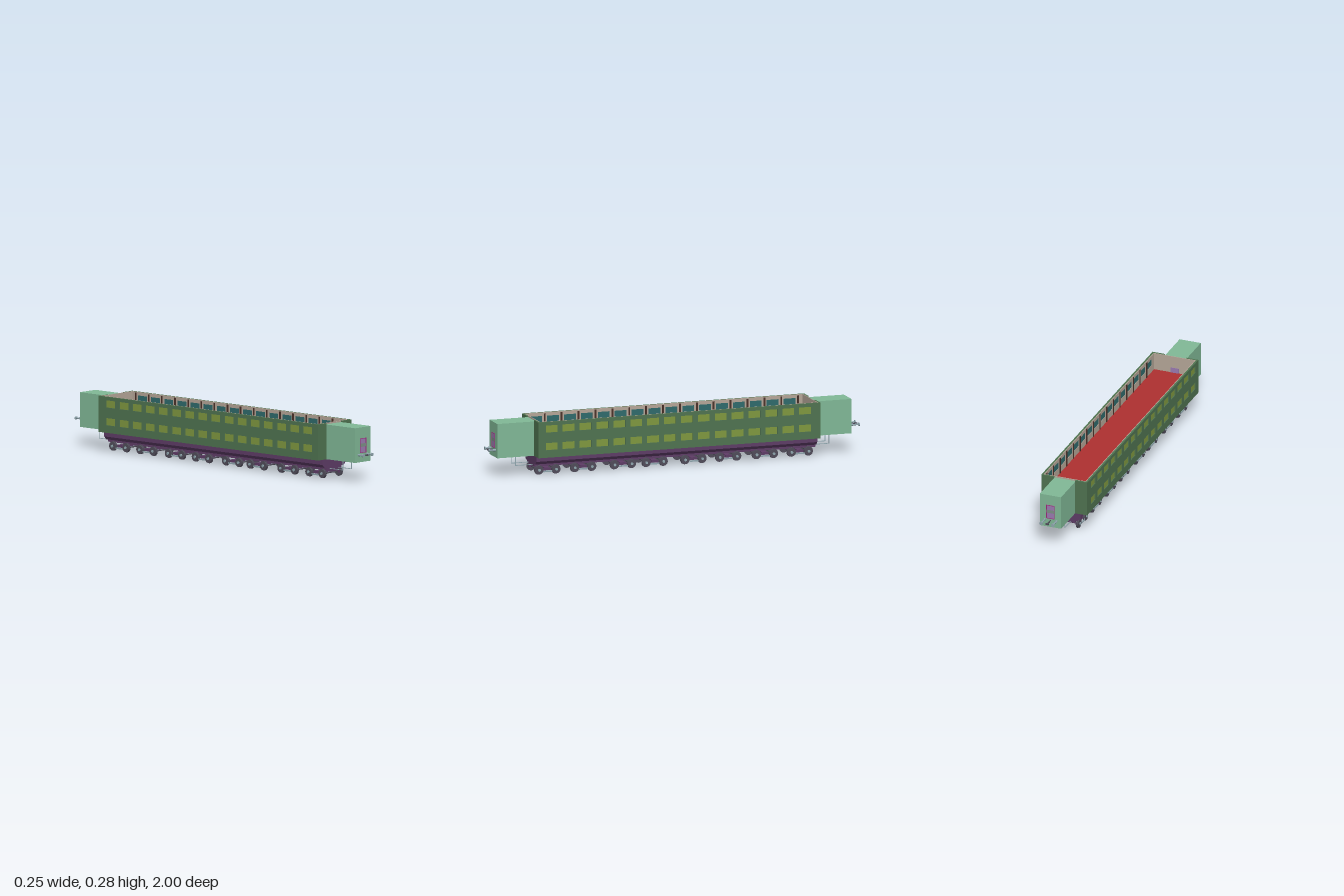
import * as THREE from 'three';

const mat = (color, side = THREE.FrontSide) => new THREE.MeshStandardMaterial({ color, side });
const M = {
  body: mat(0x4f7350), gangway: mat(0x80b896), under: mat(0x5e3c66), floor: mat(0xad3030),
  lining: mat(0xb5a698), pillar: mat(0x4a3028), glassOut: mat(0x7f983f), glassIn: mat(0x2f6a6c),
  wheel: mat(0x504c5a), steel: mat(0x8fa6ae), frame: mat(0xa03080), door: mat(0x9a7ab0), band: mat(0x7c8f86),
};

const OX = -0.002;                 // shared centre line of the gangways and running gear
const ZF = 0.765, ZB = -0.755;     // ends of the body
const Y0 = 0.1, Y1 = 0.285;        // bottom and top of the body
const ROWS = [[0.139, 0.176], [0.23, 0.267]];
const WINDOWS = Array.from({ length: 16 }, (_, i) => 0.693 - i * 0.091);

function add(parent, name, geometry, material, x = 0, y = 0, z = 0) {
  const mesh = new THREE.Mesh(geometry, material);
  mesh.name = name;
  mesh.position.set(x, y, z);
  parent.add(mesh);
  return mesh;
}

// Box given by its minimum and maximum corners
function block(parent, name, material, x0, x1, y0, y1, z0, z1) {
  return add(parent, name, new THREE.BoxGeometry(x1 - x0, y1 - y0, z1 - z0), material,
    (x0 + x1) / 2, (y0 + y1) / 2, (z0 + z1) / 2);
}

// Cylinder lying along x or z
function rod(parent, name, material, r, length, axis, x, y, z, sides = 16) {
  const g = new THREE.CylinderGeometry(r, r, length, sides);
  if (axis === 'x') g.rotateZ(Math.PI / 2);
  else g.rotateX(Math.PI / 2);
  return add(parent, name, g, material, x, y, z);
}

function rectPath(path, x0, x1, y0, y1) {
  path.moveTo(x0, y0);
  path.lineTo(x1, y0);
  path.lineTo(x1, y1);
  path.lineTo(x0, y1);
  path.closePath();
  return path;
}

// Long wall pierced by both window rows, its outer or inner face at x
function windowWall(z0, z1, depth) {
  const shape = rectPath(new THREE.Shape(), z0, z1, Y0, Y1);
  for (const z of WINDOWS)
    for (const [a, b] of ROWS) shape.holes.push(rectPath(new THREE.Path(), z - 0.032, z + 0.032, a, b));
  const g = new THREE.ExtrudeGeometry(shape, { depth, bevelEnabled: false });
  g.rotateY(-Math.PI / 2);
  return g;
}

function buildSides(group) {
  const outer = windowWall(ZB, ZF, 0.01), inner = windowWall(ZB + 0.01, ZF - 0.01, 0.004);
  for (const s of [1, -1]) {
    const side = new THREE.Group();
    side.name = s > 0 ? 'leftSide' : 'rightSide';
    add(side, 'sideWall', outer, M.body, s > 0 ? 0.125 : -0.116);
    add(side, 'sideLining', inner, M.lining, s > 0 ? 0.115 : -0.112);
    for (const z of WINDOWS) {
      for (const [a, b] of ROWS) {
        const xs = [0.1185 * s, 0.121 * s].sort((p, q) => p - q);
        const xi = [0.1135 * s, 0.118 * s].sort((p, q) => p - q);
        block(side, 'windowPane', M.glassOut, xs[0], xs[1], a, b, z - 0.032, z + 0.032);
        block(side, 'innerPane', M.glassIn, xi[0], xi[1], a, b, z - 0.032, z + 0.032);
      }
      // Pillar between neighbouring windows
      const p = [0.108 * s, 0.112 * s].sort((u, v) => u - v);
      block(side, 'pillar', M.pillar, p[0], p[1], 0.195, 0.28, z - 0.05, z - 0.041);
    }
    group.add(side);
  }
}

// Front end (s = 1) or back end (s = -1)
function buildEnd(group, s) {
  const end = new THREE.Group();
  end.name = s > 0 ? 'frontEnd' : 'backEnd';
  const zBody = s > 0 ? ZF : ZB, zFace = s > 0 ? 0.962 : -0.946;
  const span = (name, m, x0, x1, y0, y1, za, zb) =>
    block(end, name, m, x0, x1, y0, y1, Math.min(za, zb), Math.max(za, zb));

  // End wall beside the gangway, and the inner lining with its door
  span('endWall', M.body, -0.116, OX - 0.058, Y0, Y1, zBody, zBody - 0.01 * s);
  span('endWall', M.body, OX + 0.058, 0.115, Y0, Y1, zBody, zBody - 0.01 * s);
  span('endLining', M.lining, -0.112, 0.111, Y0, Y1, zBody - 0.01 * s, zBody - 0.014 * s);
  span('innerDoor', M.door, OX - 0.022, OX + 0.022, 0.195, 0.222, zBody - 0.014 * s, zBody - 0.016 * s);
  span('gangway', M.gangway, OX - 0.058, OX + 0.058, Y0, 0.278, zBody - 0.01 * s, zFace);

  // Gangway door: panels, cross band and frame
  span('door', M.door, OX - 0.021, OX + 0.021, 0.148, 0.221, zFace, zFace + 0.001 * s);
  span('doorBand', M.band, OX - 0.021, OX + 0.021, 0.178, 0.195, zFace, zFace + 0.0015 * s);
  for (const t of [-1, 1])
    span('doorFrame', M.frame, OX + t * 0.0215 - 0.0015, OX + t * 0.0215 + 0.0015, 0.147, 0.222, zFace, zFace + 0.003 * s);
  for (const y of [0.147, 0.2195])
    span('doorFrame', M.frame, OX - 0.023, OX + 0.023, y, y + 0.0025, zFace, zFace + 0.003 * s);

  // Buffers with a coupler between them
  const tip = s * 0.999, len = Math.abs(tip - zFace);
  for (const t of [-1, 1]) {
    const x = OX - 0.001 + t * 0.032;
    rod(end, 'bufferStem', M.steel, 0.004, len, 'z', x, 0.138, (tip + zFace) / 2);
    rod(end, 'bufferSleeve', M.steel, 0.006, 0.016, 'z', x, 0.138, zFace + s * 0.008);
    const head = rod(end, 'bufferHead', M.steel, 0.0095, 0.005, 'z', x, 0.138, tip - s * 0.0025, 20);
    head.scale.y = 0.9;
  }
  rod(end, 'couplerBar', M.wheel, 0.003, len * 0.9, 'z', OX - 0.001, 0.137, zFace + s * len * 0.45, 8);
  span('couplerHook', M.wheel, OX - 0.009, OX + 0.007, 0.133, 0.141, tip - s * 0.012, tip - s * 0.003);

  // Bent pipes hanging below the gangway
  const zPipe = s > 0 ? 0.855 : -0.835;
  for (const t of [-1, 1]) {
    const x = OX - 0.001 + t * 0.032;
    span('pipe', M.steel, x - 0.0015, x + 0.0015, 0.049, Y0, zPipe - 0.0015, zPipe + 0.0015);
    span('pipe', M.steel, x - 0.0015, x + 0.0015, 0.049, 0.052, zPipe, zBody - 0.01 * s);
  }
  group.add(end);
}

function buildUnderframe(group) {
  const half = [[0.086, 0.1], [0.086, 0.073], [0.071, 0.057], [0.056, 0.057], [0.056, 0.043]];
  const points = [...half, ...half.map(([x, y]) => [-x, y]).reverse()];
  const shape = new THREE.Shape(points.map(([x, y]) => new THREE.Vector2(x, y)));
  const g = new THREE.ExtrudeGeometry(shape, { depth: ZF - ZB - 0.006, bevelEnabled: false });
  add(group, 'underframe', g, M.under, OX, 0, ZB + 0.003);
}

function buildBogie(z) {
  const bogie = new THREE.Group();
  bogie.name = 'bogie';
  bogie.position.set(OX, 0, z);
  block(bogie, 'bolster', M.under, -0.058, 0.058, 0.023, 0.034, -0.014, 0.014);
  rod(bogie, 'crossTube', M.steel, 0.0045, 0.098, 'x', 0, 0.019, 0);
  add(bogie, 'pivot', new THREE.CylinderGeometry(0.008, 0.008, 0.012, 16), M.wheel, 0, 0.039, 0);
  for (const s of [-1, 1]) {
    block(bogie, 'sideFrame', M.under, s * 0.052 - 0.003, s * 0.052 + 0.003, 0.02, 0.032, -0.06, 0.06);
    block(bogie, 'springBeam', M.steel, s * 0.066 - 0.002, s * 0.066 + 0.002, 0.013, 0.02, -0.024, 0.024);
    for (const t of [-1, 1]) {
      rod(bogie, 'wheel', M.wheel, 0.0225, 0.009, 'x', s * 0.0625, 0.025, t * 0.046, 24);
      rod(bogie, 'wheelFlange', M.wheel, 0.0245, 0.003, 'x', s * 0.0575, 0.025, t * 0.046, 24);
      rod(bogie, 'axleCap', M.steel, 0.007, 0.005, 'x', s * 0.0695, 0.025, t * 0.046, 12);
    }
  }
  for (const t of [-1, 1]) rod(bogie, 'axle', M.wheel, 0.0035, 0.118, 'x', 0, 0.025, t * 0.046, 12);
  return bogie;
}

export function createModel() {
  const group = new THREE.Group();
  group.name = 'doubleDeckCarriage';
  buildSides(group);
  buildEnd(group, 1);
  buildEnd(group, -1);

  // Lower and upper deck floors
  block(group, 'lowerFloor', M.body, -0.1155, 0.1145, Y0, 0.106, ZB + 0.01, ZF - 0.01);
  block(group, 'upperFloor', M.floor, -0.112, 0.111, 0.178, 0.195, ZB + 0.014, ZF - 0.014);

  buildUnderframe(group);
  for (const z of [0.693, 0.5, 0.286, 0.115, -0.094, -0.281, -0.479, -0.667]) group.add(buildBogie(z));
  return group;
}
